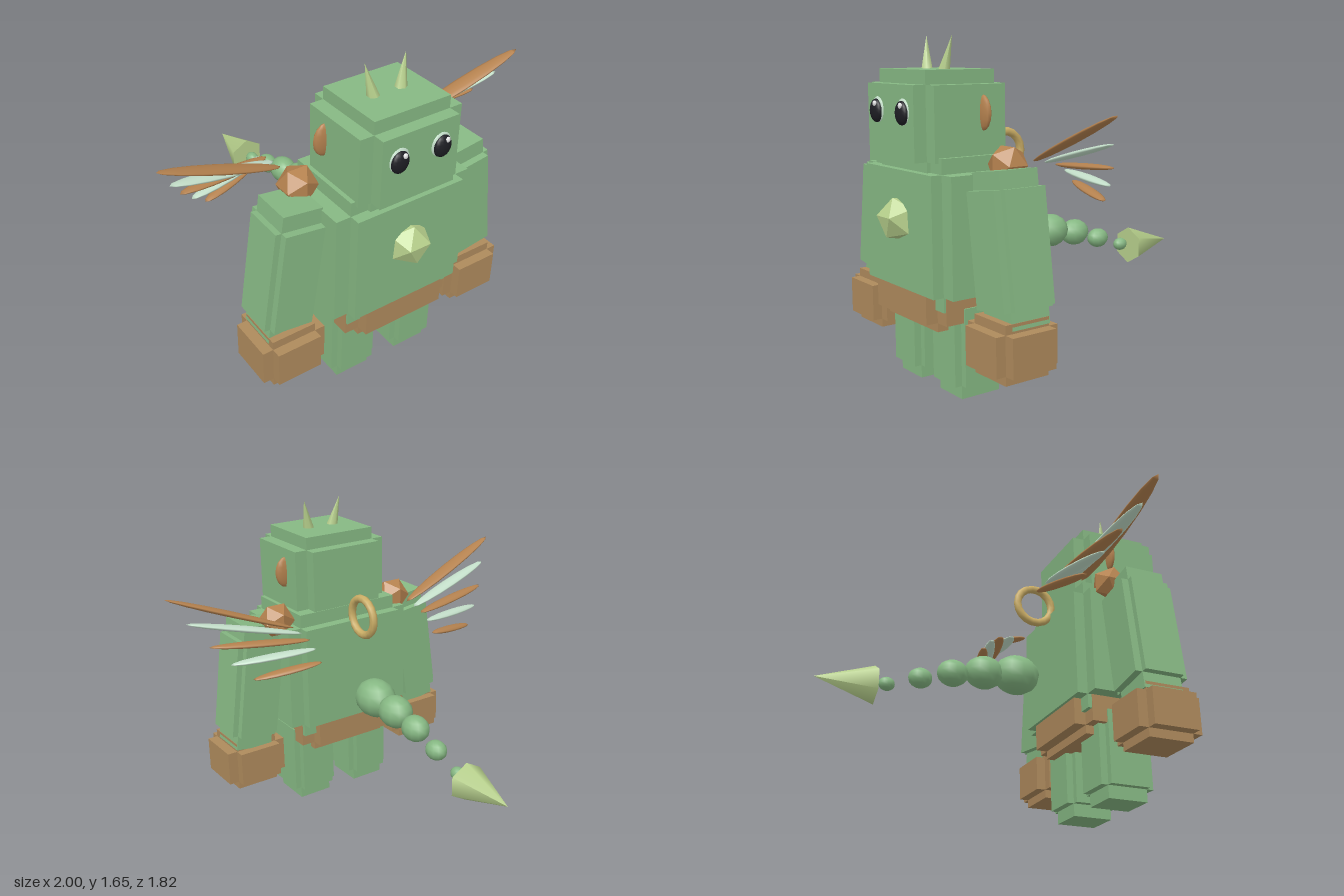
import * as THREE from 'three';

const mat = (name, color, extra = {}) => {
  const m = new THREE.MeshStandardMaterial({ color });
  m.name = name;
  return Object.assign(m, extra);
};

export function createModel() {
  const root = new THREE.Group();
  root.name = 'wingedGolem';

  const green = mat('bodyGreen', 0x86b883);
  const brown = mat('leatherBrown', 0xae8a5c);
  const copper = mat('copper', 0xb5824f);
  const mint = mat('paleMint', 0xc4dfca);
  const lime = mat('limeCrystal', 0xb7d08c);
  const gold = mat('gold', 0xcbae66);
  const black = mat('pupilBlack', 0x1e1e24);
  const white = mat('glintWhite', 0xf4f4f4);

  const add = (name, geo, material, pos, parent = root) => {
    const m = new THREE.Mesh(geo, material);
    m.name = name;
    m.position.set(...pos);
    parent.add(m);
    return m;
  };

  // Block with stepped edges: three crossing boxes, each full size along one axis
  const block = (name, material, [w, h, d], pos, inset) => {
    const g = new THREE.Group();
    g.name = name;
    g.position.set(...pos);
    const [ix, iy, iz] = inset;
    const wi = w - 2 * ix, hi = h - 2 * iy, di = d - 2 * iz;
    add(name + 'Wide', new THREE.BoxGeometry(w, hi, di), material, [0, 0, 0], g);
    add(name + 'Tall', new THREE.BoxGeometry(wi, h, di), material, [0, 0, 0], g);
    add(name + 'Deep', new THREE.BoxGeometry(wi, hi, d), material, [0, 0, 0], g);
    root.add(g);
    return g;
  };

  const ellipsoid = (name, material, pos, scale, ws = 14, hs = 10) => {
    const m = add(name, new THREE.SphereGeometry(1, ws, hs), material, pos);
    m.scale.set(...scale);
    return m;
  };

  const crystal = (name, material, radius, pos) => {
    // polyhedra without detail are already faceted
    return add(name, new THREE.IcosahedronGeometry(radius, 0), material, pos);
  };

  // Torso, head and belt
  block('torso', green, [0.74, 0.69, 0.52], [0, 0.778, 0.569], [0.076, 0.07, 0.054]);
  block('head', green, [0.545, 0.466, 0.488], [0, 1.27, 0.611], [0.069, 0.064, 0.062]);
  block('belt', brown, [0.594, 0.34, 0.5], [0, 0.496, 0.574], [0.075, 0.043, 0.06]);

  // Chest crystal
  const gem = crystal('chestCrystal', lime, 0.108, [0, 0.823, 0.818]);
  gem.rotation.set(-0.2, 0, Math.PI / 2);

  // Feathers: root, tip, half width
  const feathers = [
    [[0.36, 1.085, 0.32], [1.0, 1.335, 0.4], 0.046],
    [[0.355, 1.075, 0.25], [0.925, 1.212, 0.35], 0.043],
    [[0.35, 1.06, 0.18], [0.85, 1.1, 0.28], 0.04],
    [[0.35, 1.03, 0.125], [0.77, 1.01, 0.225], 0.037],
    [[0.35, 0.975, 0.075], [0.68, 0.928, 0.175], 0.035],
  ];

  for (const s of [1, -1]) {
    const side = s > 0 ? 'left' : 'right';

    // Limbs
    block(side + 'Leg', green, [0.252, 0.5, 0.281], [s * 0.179, 0.25, 0.567], [0.033, 0.064, 0.036]);
    const arm = block(side + 'Arm', green, [0.265, 0.68, 0.275], [s * 0.508, 0.74, 0.562], [0.03, 0.08, 0.036]);
    arm.rotation.z = s * 0.135;
    block(side + 'Hand', brown, [0.336, 0.267, 0.33], [s * 0.538, 0.315, 0.583], [0.053, 0.043, 0.049]);

    // Shoulder stud
    crystal(side + 'ShoulderStud', copper, 0.097, [s * 0.372, 1.083, 0.477]);

    // Ear
    ellipsoid(side + 'Ear', copper, [s * 0.265, 1.312, 0.537], [0.065, 0.082, 0.02], 12, 8);

    // Eye, pupil and glint
    ellipsoid(side + 'Eye', mint, [s * 0.113, 1.32, 0.848], [0.057, 0.063, 0.022]);
    ellipsoid(side + 'Pupil', black, [s * 0.115, 1.315, 0.862], [0.047, 0.054, 0.024]);
    ellipsoid(side + 'Glint', white, [s * 0.115 + 0.014, 1.348, 0.878], [0.013, 0.014, 0.009], 8, 6);

    // Horn, leaning outward and backward
    const base = new THREE.Vector3(s * 0.073, 1.49, 0.615);
    const tip = new THREE.Vector3(s * 0.11, 1.655, 0.592);
    const lean = tip.clone().sub(base);
    const horn = add(side + 'Horn', new THREE.ConeGeometry(0.031, lean.length(), 6), lime,
      base.clone().add(tip).multiplyScalar(0.5).toArray());
    horn.quaternion.setFromUnitVectors(new THREE.Vector3(0, 1, 0), lean.normalize());

    // Wing: a fan of flattened feathers in alternating colours
    feathers.forEach(([r, t, width], i) => {
      const a = new THREE.Vector3(s * r[0], r[1], r[2]);
      const b = new THREE.Vector3(s * t[0], t[1], t[2]);
      const along = b.clone().sub(a);
      const half = along.length() / 2;
      along.normalize();
      const flat = new THREE.Vector3().crossVectors(along, new THREE.Vector3(0, 0, 1)).normalize();
      const across = new THREE.Vector3().crossVectors(flat, along);
      const f = ellipsoid(side + 'Feather' + (i + 1), i % 2 ? mint : copper,
        a.add(b).multiplyScalar(0.5).toArray(), [0.014, half, width], 10, 8);
      f.quaternion.setFromRotationMatrix(new THREE.Matrix4().makeBasis(flat, along, across));
    });
  }

  // Back ring
  const ring = add('backRing', new THREE.TorusGeometry(0.098, 0.021, 8, 18), gold, [0, 1.095, 0.225]);
  ring.rotation.y = Math.PI / 2;

  // Tail: shrinking beads, z, y, radius
  [
    [0.113, 0.675, 0.102], [-0.063, 0.66, 0.085], [-0.23, 0.63, 0.068],
    [-0.397, 0.577, 0.051], [-0.564, 0.52, 0.034],
  ].forEach(([z, y, r], i) =>
    ellipsoid('tailBead' + (i + 1), green, [0, y, z], [r, r, r * 1.2], 12, 8));

  // Tail spike
  const spike = add('tailSpike', new THREE.ConeGeometry(0.1, 0.29, 6), lime, [0, 0.505, -0.77]);
  spike.rotation.x = -Math.PI / 2;

  return root;
}
